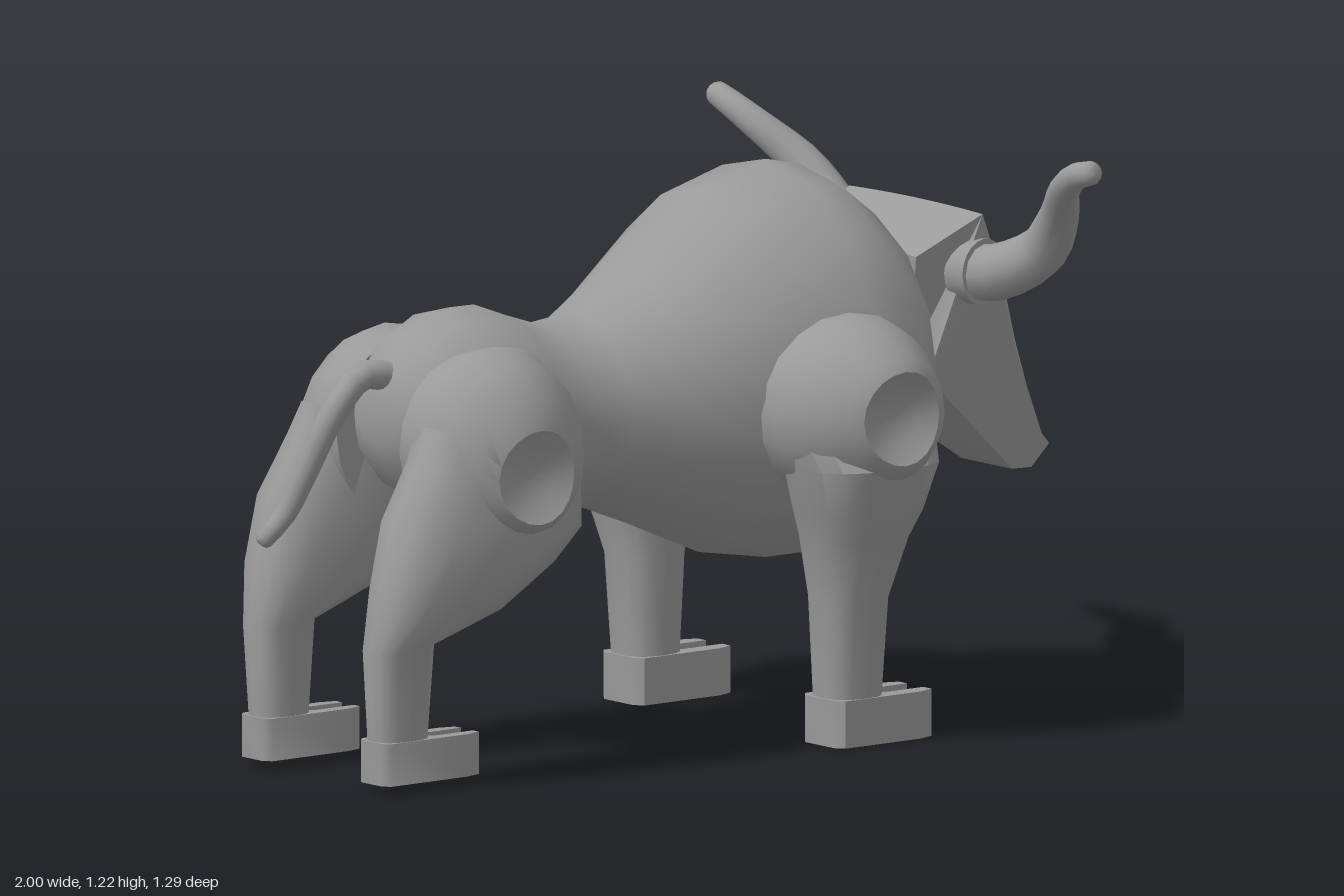
import * as THREE from 'three';
import { toCreasedNormals } from 'three/addons/utils/BufferGeometryUtils.js';

const V = (x, y, z) => new THREE.Vector3(x, y, z);
const material = new THREE.MeshStandardMaterial({ color: 0x9a9a9a });

// Closed skin over a list of equal-sized rings, with fan caps, always facing outward.
function loft(rings, crease = 0.75) {
  const n = rings[0].length;
  const points = rings.flat();
  const faces = [];
  for (let i = 0; i < rings.length - 1; i++) {
    for (let j = 0; j < n; j++) {
      const a = i * n + j, b = i * n + (j + 1) % n;
      faces.push([a, b, b + n], [a, b + n, a + n]);
    }
  }
  [0, rings.length - 1].forEach((r, end) => {
    const centre = rings[r].reduce((sum, p) => sum.add(p), V(0, 0, 0)).divideScalar(n);
    points.push(centre);
    for (let j = 0; j < n; j++) {
      const a = r * n + j, b = r * n + (j + 1) % n;
      faces.push(end ? [a, b, points.length - 1] : [b, a, points.length - 1]);
    }
  });
  const volume = faces.reduce((sum, [a, b, c]) =>
    sum + points[a].dot(V(0, 0, 0).crossVectors(points[b], points[c])), 0);
  if (volume < 0) faces.forEach(f => f.reverse());
  const geometry = new THREE.BufferGeometry().setFromPoints(points);
  geometry.setIndex(faces.flat());
  return toCreasedNormals(geometry, crease);
}

// Ring of n points; at(cos, sin) places each point, power < 1 squares the corners.
function ring(n, at, power = 1) {
  const bend = v => Math.sign(v) * Math.abs(v) ** power;
  return Array.from({ length: n }, (_, i) => {
    const t = i / n * Math.PI * 2;
    return at(bend(Math.cos(t)), bend(Math.sin(t)));
  });
}

// Tapered tube through points, with a rounded tip.
function taperedTube(points, radii, steps = 14, sides = 12) {
  const curve = new THREE.CatmullRomCurve3(points);
  const { tangents, normals, binormals } = curve.computeFrenetFrames(steps);
  const circle = (i, r, ahead) => {
    const p = curve.getPointAt(i / steps).addScaledVector(tangents[i], ahead);
    return ring(sides, (c, s) => p.clone().addScaledVector(normals[i], c * r).addScaledVector(binormals[i], s * r));
  };
  const rings = Array.from({ length: steps + 1 }, (_, i) => {
    const k = i / steps * (radii.length - 1), a = Math.min(Math.floor(k), radii.length - 2);
    return circle(i, THREE.MathUtils.lerp(radii[a], radii[a + 1], k - a), 0);
  });
  const tip = radii.at(-1);
  return loft([...rings, circle(steps, tip * 0.75, tip * 0.4), circle(steps, tip * 0.35, tip * 0.55)]);
}

// Leg sections: [back x, back y, front x, front y, inner z, outer z].
function legSkin(sections, side, offset) {
  return loft(sections.map(([bx, by, fx, fy, zi, zo]) => ring(16, (c, s) => V(
    (bx + fx) / 2 + c * (fx - bx) / 2,
    (by + fy) / 2 + c * (fy - by) / 2,
    offset + side * ((zi + zo) / 2 + s * (zo - zi) / 2)), 0.75)));
}

// Round joint about the z axis with a hollow dish on its slightly curved outside: [radius, z] profile.
function joint(profile, x, y, dishDrop, side, offset) {
  const max = profile[0][0];
  return loft(profile.map(([r, z]) => ring(20, (c, s) => V(
    x + r * c,
    y + r * s - dishDrop * Math.min(1, 2 * (1 - r / max)),
    offset + side * (z - 1.5 * Math.min(Math.abs(r * c), 0.1) ** 2))), 0.6));
}

// Cloven hoof, pointing along +x.
function hoof(length, width, height) {
  const w = width / 2, gap = width * 0.2, notch = length * 0.6;
  const shape = new THREE.Shape([
    [0.015, -w], [length * 0.85, -w], [length, -w * 0.8], [length, -gap], [notch, -gap], [notch - gap, 0],
    [notch, gap], [length, gap], [length, w * 0.8], [length * 0.85, w], [0.015, w], [0, w * 0.7], [0, -w * 0.7],
  ].map(([x, y]) => new THREE.Vector2(x, y)));
  const geometry = new THREE.ExtrudeGeometry(shape, { depth: height, bevelEnabled: false });
  return toCreasedNormals(geometry.rotateX(-Math.PI / 2), 0.9);
}

export function createModel() {
  const bull = new THREE.Group();
  bull.name = 'bull';
  const add = (name, geometry, parent = bull) => {
    const mesh = new THREE.Mesh(geometry, material);
    mesh.name = name;
    parent.add(mesh);
    return mesh;
  };

  // Body: [x, bottom, top, half width]
  const body = [
    [-0.76, 0.69, 0.80, 0.06], [-0.74, 0.64, 0.85, 0.12], [-0.69, 0.58, 0.91, 0.172], [-0.60, 0.53, 0.955, 0.2],
    [-0.50, 0.51, 0.96, 0.215], [-0.42, 0.51, 0.93, 0.21], [-0.33, 0.51, 0.90, 0.195], [-0.23, 0.505, 0.91, 0.203],
    [-0.10, 0.455, 0.99, 0.25], [0.10, 0.37, 1.14, 0.335], [0.28, 0.34, 1.185, 0.38], [0.37, 0.355, 1.165, 0.382],
    [0.47, 0.42, 1.09, 0.335], [0.54, 0.53, 0.98, 0.24], [0.57, 0.62, 0.88, 0.14],
  ];
  add('body', loft(body.map(([x, lo, hi, w]) =>
    ring(16, (c, s) => V(x, (lo + hi) / 2 + c * (hi - lo) / 2, s * w)))));

  // Head: [x, y] of the face on the centre line, [x, y, z] of the face edge, [x, y, z] of the jaw
  const head = [
    [[0.53, 0.98], [0.53, 0.975, 0.19], [0.545, 0.75, 0.15]],
    [[0.68, 1.06], [0.68, 1.055, 0.225], [0.555, 0.72, 0.2]],
    [[0.755, 1.015], [0.71, 0.99, 0.217], [0.585, 0.697, 0.19]],
    [[0.83, 0.965], [0.745, 0.91, 0.203], [0.62, 0.668, 0.176]],
    [[0.893, 0.775], [0.835, 0.735, 0.143], [0.72, 0.59, 0.14]],
    [[0.97, 0.55], [0.955, 0.54, 0.078], [0.87, 0.475, 0.085]],
    [[0.995, 0.52], [0.985, 0.515, 0.065], [0.935, 0.47, 0.068]],
  ];
  add('head', loft(head.map(([m, e, j]) => {
    const face = [1, 0.7, 0.35, 0, -0.35, -0.7, -1].map(u =>
      V(m[0] + (e[0] - m[0]) * u * u, m[1] + (e[1] - m[1]) * u * u, e[2] * u));
    return [...face, V(j[0], j[1], -j[2]), V(...j)];
  }), 0.62));

  // Nose ring
  const noseRing = add('noseRing', new THREE.TorusGeometry(0.033, 0.007, 8, 16, Math.PI));
  noseRing.geometry.rotateX(Math.PI).rotateY(Math.PI / 2).rotateZ(0.9);
  noseRing.position.set(0.967, 0.5, 0);

  // Tail
  add('tail', taperedTube([V(-0.72, 0.83, 0), V(-0.80, 0.84, 0), V(-0.865, 0.77, -0.01),
    V(-0.91, 0.64, -0.05), V(-0.94, 0.55, -0.08), V(-0.98, 0.497, -0.103)], [0.032, 0.029, 0.026, 0.02]));

  const frontSections = [
    [0.04, 0.70, 0.425, 0.70, 0.25, 0.44], [0.065, 0.60, 0.395, 0.60, 0.25, 0.515],
    [0.10, 0.50, 0.36, 0.50, 0.25, 0.493], [0.12, 0.44, 0.335, 0.44, 0.257, 0.465],
    [0.15, 0.31, 0.305, 0.31, 0.265, 0.42], [0.16, 0.09, 0.295, 0.09, 0.275, 0.403],
  ];
  const rearSections = [
    [-0.80, 0.76, -0.41, 0.67, 0.10, 0.285], [-0.83, 0.69, -0.418, 0.515, 0.10, 0.305],
    [-0.90, 0.57, -0.50, 0.45, 0.10, 0.318], [-0.935, 0.43, -0.64, 0.365, 0.115, 0.305],
    [-0.957, 0.30, -0.80, 0.31, 0.145, 0.257], [-0.945, 0.10, -0.815, 0.10, 0.152, 0.247],
  ];
  const shoulder = [[0.20, 0.24], [0.20, 0.37], [0.182, 0.435], [0.13, 0.515], [0.10, 0.534], [0.06, 0.503], [0.02, 0.492]];
  const hip = [[0.195, 0.12], [0.205, 0.19], [0.185, 0.26], [0.14, 0.32], [0.10, 0.337], [0.06, 0.312], [0.02, 0.302]];
  const rearShift = 0.022;

  for (const side of [1, -1]) {
    const word = side > 0 ? 'left' : 'right';

    // Horn with its collar
    add(word + 'Horn', taperedTube([
      [0.67, 0.93, 0.18], [0.69, 0.935, 0.26], [0.735, 0.985, 0.35], [0.72, 1.07, 0.43],
      [0.665, 1.15, 0.52], [0.645, 1.19, 0.59], [0.65, 1.2, 0.63],
    ].map(([x, y, z]) => V(x, y, side * z)), [0.062, 0.06, 0.055, 0.046, 0.037, 0.031, 0.026]));
    const collar = add(word + 'HornCollar', new THREE.CylinderGeometry(0.07, 0.07, 0.05, 20));
    collar.geometry.rotateX(Math.PI / 2);
    collar.rotation.y = side * 0.2;
    collar.position.set(0.675, 0.933, side * 0.205);

    // Front leg
    const front = new THREE.Group();
    front.name = word + 'FrontLeg';
    add('shoulder', joint(shoulder, 0.23, 0.71, 0, side, 0), front);
    add('lowerLeg', legSkin(frontSections, side, 0), front);
    add('hoof', hoof(0.255, 0.137, 0.10), front).position.set(0.155, 0, side * 0.338);
    bull.add(front);

    // Rear leg
    const rear = new THREE.Group();
    rear.name = word + 'RearLeg';
    add('hip', joint(hip, -0.605, 0.70, 0.05, side, rearShift), rear);
    add('lowerLeg', legSkin(rearSections, side, rearShift), rear);
    add('hoof', hoof(0.255, 0.10, 0.09), rear).position.set(-0.95, 0.02, side * 0.2 + rearShift);
    bull.add(rear);
  }
  return bull;
}
